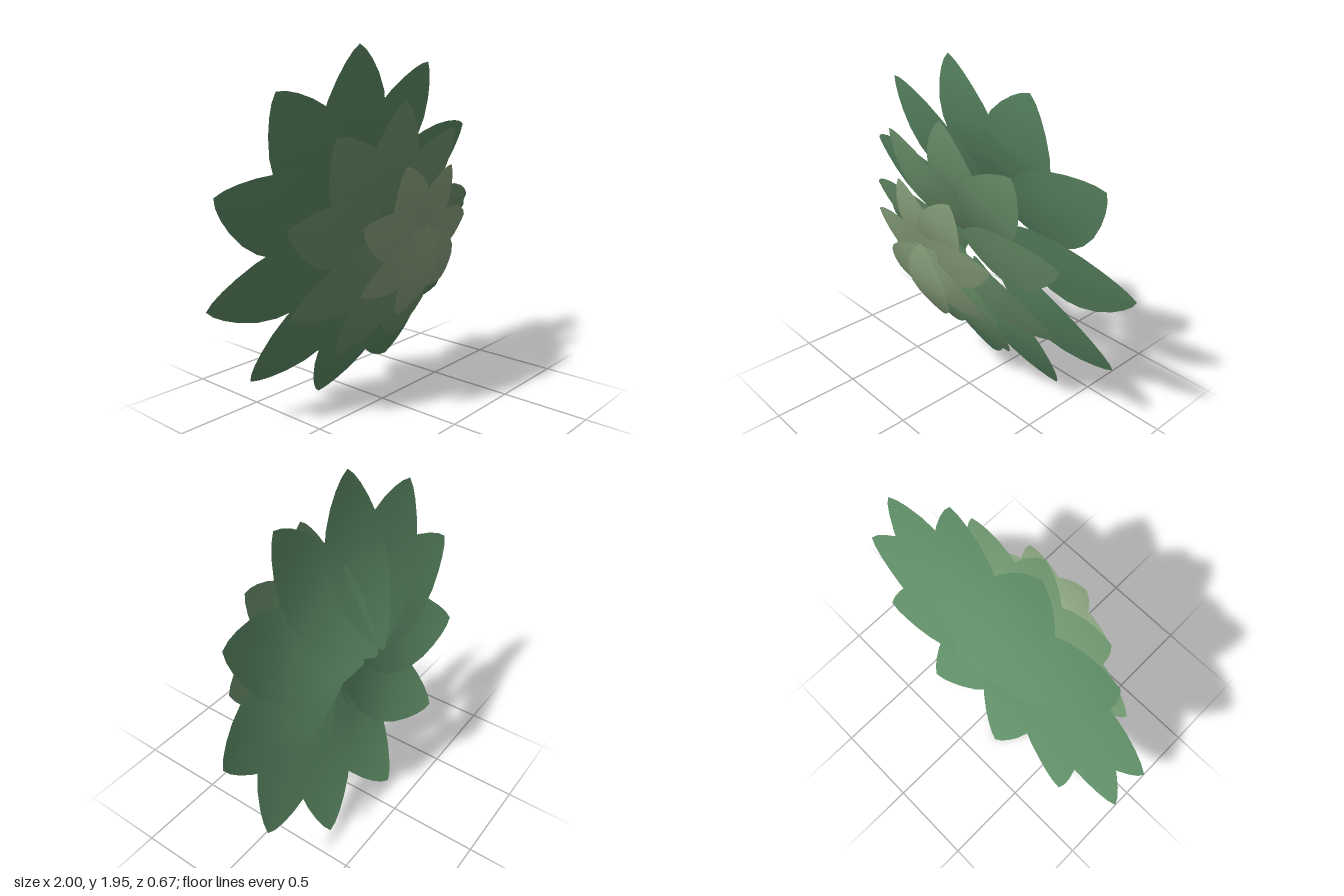
import * as THREE from 'three';

// Half-width along a petal from base to tip, as a fraction of the widest half-width
const PROFILE = [
  [0, 0.06], [0.06, 0.28], [0.14, 0.53], [0.25, 0.78], [0.37, 0.95], [0.5, 1],
  [0.6, 0.97], [0.72, 0.84], [0.83, 0.62], [0.91, 0.4], [0.965, 0.2], [1, 0],
];
const COLS = 8;

// Leaf lying along x, centred on its own origin, its middle bowed toward +z
function petalGeometry({ half, width, bulge }) {
  const pos = [], idx = [];
  PROFILE.forEach(([t, w], i) => {
    const u = 2 * t - 1;
    const ridge = bulge * (1 - Math.abs(u) ** 1.8);
    for (let j = 0; j <= COLS; j++) {
      const s = (2 * j) / COLS - 1;
      pos.push(u * half, s * w * width, ridge * (1 - 0.1 * Math.abs(s) ** 1.5));
      if (i && j) {
        const c = i * (COLS + 1) + j, d = c - COLS - 1;
        idx.push(d - 1, c - 1, c, d - 1, c, d);
      }
    }
  });
  const g = new THREE.BufferGeometry();
  g.setAttribute('position', new THREE.Float32BufferAttribute(pos, 3));
  g.setIndex(idx);
  g.computeVertexNormals();
  return g;
}

// Rings from back to front: start angle in degrees, pivot radius, centre height and depth
const RINGS = [
  { name: 'outer', count: 11, start: 0, radius: 0.555, y: 0.975, z: -0.174, tilt: 0.38, lean: -0.04,
    half: 0.465, width: 0.235, bulge: 0.06, color: 0x619069 },
  { name: 'middle', count: 9, start: 10, radius: 0.357, y: 0.97, z: 0.035, tilt: 0.385, lean: -0.01,
    half: 0.376, width: 0.195, bulge: 0.055, color: 0x739a72 },
  { name: 'inner', count: 7, start: 9, radius: 0.172, y: 0.965, z: 0.234, tilt: 0.33, lean: 0.02,
    half: 0.272, width: 0.145, bulge: 0.045, color: 0x8fa983 },
];

export function createModel() {
  const model = new THREE.Group();
  model.name = 'rosette';
  for (const r of RINGS) {
    const ring = new THREE.Group();
    ring.name = r.name + 'Petals';
    ring.position.set(-0.02, r.y, r.z);
    const geometry = petalGeometry(r);
    const material = new THREE.MeshStandardMaterial({ color: r.color, side: THREE.DoubleSide });
    for (let i = 0; i < r.count; i++) {
      const a = THREE.MathUtils.degToRad(r.start + (360 * i) / r.count);
      const petal = new THREE.Mesh(geometry, material);
      petal.name = r.name + 'Petal' + (i + 1);
      petal.position.set(Math.cos(a) * r.radius, Math.sin(a) * r.radius, 0);
      // Every petal turns to its angle, then leans the same way about its own middle
      petal.rotation.set(r.tilt, r.lean, a);
      ring.add(petal);
    }
    model.add(ring);
  }
  return model;
}
